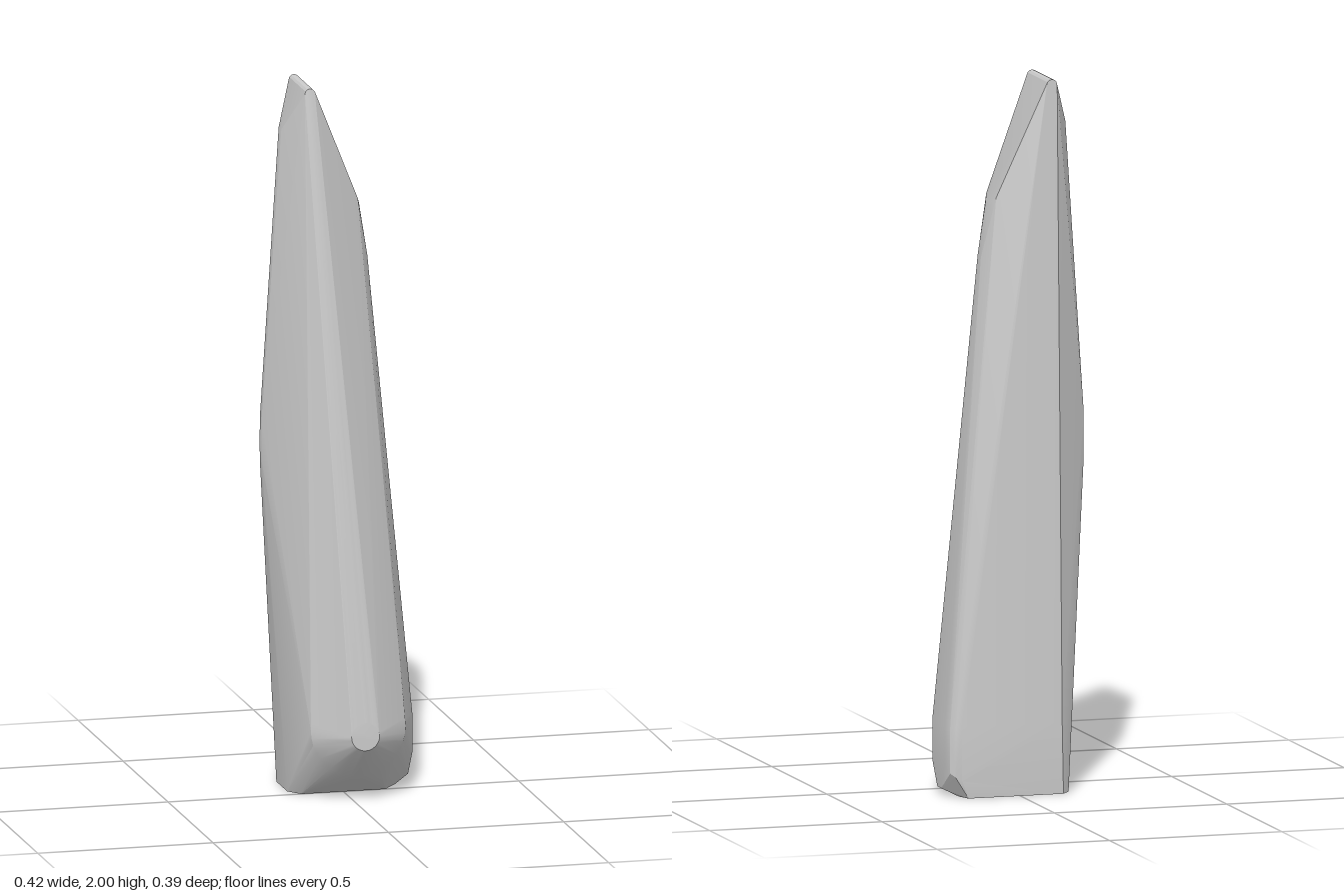
import * as THREE from 'three';
import { ConvexGeometry } from 'three/addons/geometries/ConvexGeometry.js';
import { toCreasedNormals } from 'three/addons/utils/BufferGeometryUtils.js';

const v = (x, y, z) => new THREE.Vector3(x, y, z);

// Ring of points facing the front
function disc(x, y, z, r, n) {
  return Array.from({ length: n }, (_, i) => {
    const a = (i / n) * Math.PI * 2;
    return v(x + r * Math.cos(a), y + r * Math.sin(a), z);
  });
}

export function createModel() {
  const points = [
    // blunt nose: small disc in front of a wide one
    ...disc(0.013, 0.2, 0.197, 0.04, 24),
    ...disc(0.013, 0.205, 0.115, 0.135, 40),
    // rounded chisel edge at the tip
    ...disc(-0.093, 1.985, -0.007, 0.015, 12),
    ...disc(-0.093, 1.985, -0.188, 0.015, 12),
    // shoulders below the tip
    v(0.065, 1.65, -0.08), v(0.065, 1.65, -0.12),
    v(0.055, 1.67, -0.055), v(0.055, 1.67, -0.145),
    v(0.09, 1.5, -0.085), v(0.09, 1.5, -0.115),
    v(-0.155, 1.87, -0.085), v(-0.155, 1.87, -0.115),
    // bulge on the right flank
    v(-0.21, 1.05, -0.09), v(-0.21, 1.05, -0.11),
    v(-0.213, 0.98, -0.1),
    v(-0.21, 0.93, -0.09), v(-0.21, 0.93, -0.11),
    // flat left flank, narrowing to the foot
    v(0.207, 0.2, -0.04), v(0.207, 0.2, -0.155),
    v(0.207, 0.09, -0.04), v(0.207, 0.09, -0.155),
    v(0.205, 0.02, -0.08), v(0.205, 0.02, -0.115),
    // rounded rear edge of the left flank
    v(0.199, 0.2, -0.178), v(0.187, 0.2, -0.19), v(0.17, 0.2, -0.196),
    v(0.199, 0.07, -0.178), v(0.187, 0.06, -0.19), v(0.17, 0.05, -0.196),
    // rear edge of the right flank
    v(-0.12, 0.2, -0.196),
    // foot
    v(-0.125, 0, -0.192), v(-0.15, 0, -0.16), v(-0.15, 0, -0.04), v(-0.12, 0, 0),
    v(0.12, 0, 0), v(0.16, 0, -0.05), v(0.165, 0, -0.15), v(0.15, 0, -0.192),
  ];

  const body = new THREE.Mesh(
    toCreasedNormals(new ConvexGeometry(points), 0.35),
    new THREE.MeshStandardMaterial({ color: 0xcccccc })
  );
  body.name = 'taperedBody';

  const model = new THREE.Group();
  model.name = 'taperedWedge';
  model.add(body);
  return model;
}
